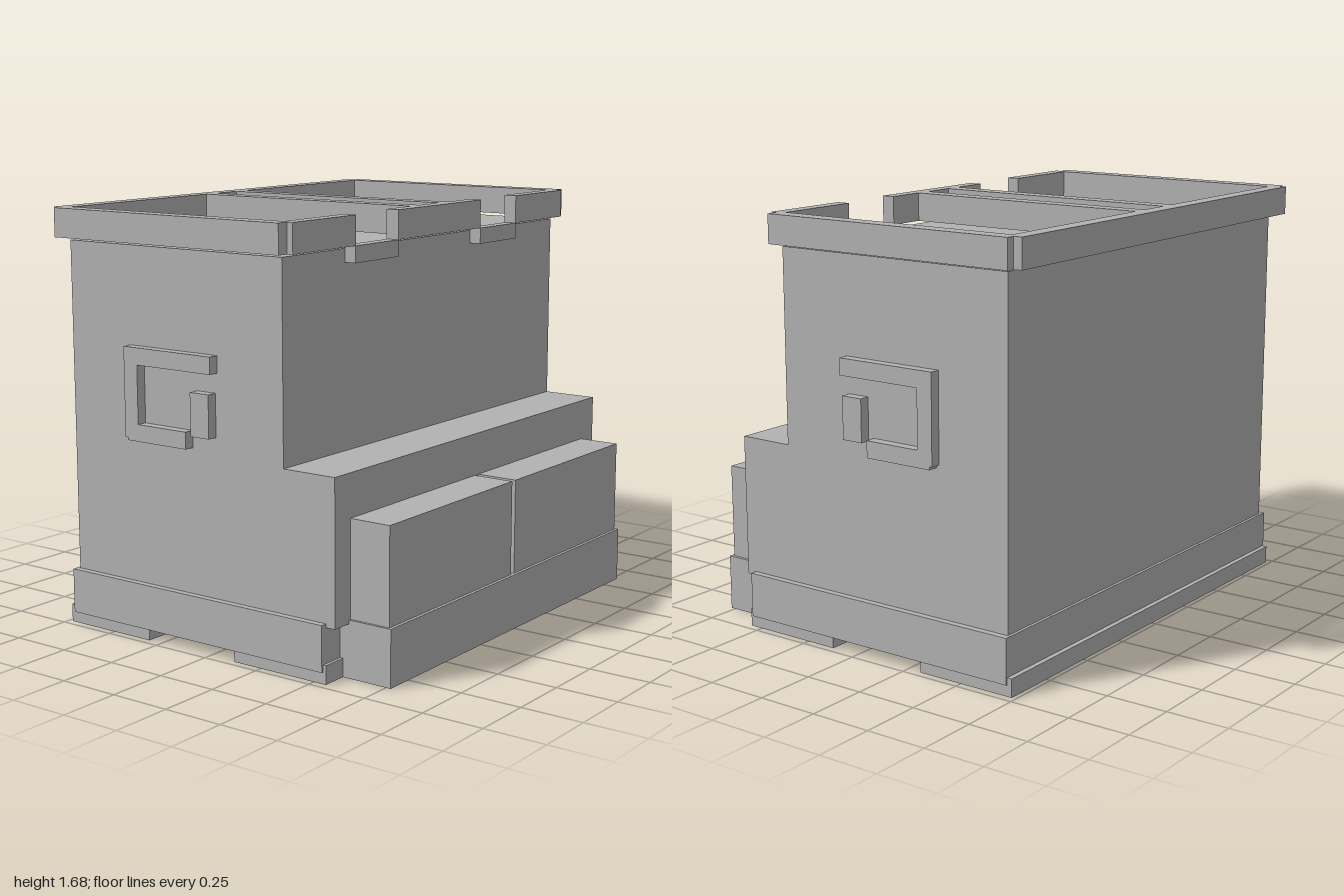
import * as THREE from 'three';

const grey = new THREE.MeshStandardMaterial({ color: 0xb2b2b2 });
grey.name = 'grey';

const toShape = (pts) => new THREE.Shape(pts.map(([a, b]) => new THREE.Vector2(a, b)));

// Side profile of [z, y] points, extruded along x and centred on cx
function sideExtrude(pts, width, cx = 0) {
  const g = new THREE.ExtrudeGeometry(toShape(pts), { depth: width, bevelEnabled: false });
  g.translate(0, 0, -width / 2);
  g.rotateY(-Math.PI / 2);
  g.translate(cx, 0, 0);
  return g;
}

// Plan of [x, z] points, extruded between two heights
function planExtrude(shape, y0, y1) {
  const g = new THREE.ExtrudeGeometry(shape, { depth: y1 - y0, bevelEnabled: false });
  g.rotateX(Math.PI / 2);
  g.translate(0, y1, 0);
  return g;
}

function boxBetween(x0, x1, y0, y1, z0, z1) {
  const g = new THREE.BoxGeometry(x1 - x0, y1 - y0, z1 - z0);
  g.translate((x0 + x1) / 2, (y0 + y1) / 2, (z0 + z1) / 2);
  return g;
}

export function createModel() {
  const model = new THREE.Group();
  model.name = 'storageCase';
  const add = (name, geometry) => {
    const mesh = new THREE.Mesh(geometry, grey);
    mesh.name = name;
    model.add(mesh);
  };

  // Stepped body
  add('body', sideExtrude([
    [-0.7, 0.21], [0.583, 0.21], [0.583, 0.777], [0.35, 0.777], [0.35, 1.55], [-0.7, 1.55],
  ], 1.9));

  // Base skirt, its two feet with a channel between them, and the front plinth
  add('baseSkirt', boxBetween(-0.977, 0.977, 0.045, 0.225, -0.712, 0.542));
  add('frontFoot', boxBetween(-0.97, 0.97, 0, 0.073, 0.122, 0.555));
  add('backFoot', boxBetween(-0.97, 0.97, 0, 0.073, -0.732, -0.312));
  add('frontPlinth', boxBetween(-0.865, 0.865, 0, 0.225, 0.5, 0.77));

  // Pair of front boxes
  add('rightFrontBox', boxBetween(-0.855, -0.014, 0.21, 0.607, 0.57, 0.757));
  add('leftFrontBox', boxBetween(0.01, 0.852, 0.21, 0.607, 0.57, 0.757));

  // Lid rim: the two trays open through the front gaps, with a slot between the ribs
  const half = [
    [0.067, 0.4], [0.295, 0.4], [0.295, 0.345], [0.133, 0.345], [0.133, -0.705],
    [0.932, -0.705], [0.932, 0.345], [0.57, 0.345], [0.57, 0.4], [0.95, 0.4],
    [0.95, 0.375], [1, 0.375], [1, -0.735], [0.965, -0.735], [0.965, -0.77],
  ];
  const rim = toShape([...half, ...half.map(([x, z]) => [-x, z]).reverse()]);
  rim.holes.push(new THREE.Path([
    [-0.067, -0.705], [0.067, -0.705], [0.067, 0.345], [-0.067, 0.345],
  ].map(([x, z]) => new THREE.Vector2(x, z))));
  add('lidRim', planExtrude(rim, 1.562, 1.677));

  for (const s of [-1, 1]) {
    const side = s > 0 ? 'left' : 'right';
    // Latch below each gap in the rim
    add(side + 'Latch', boxBetween(s * 0.433 - 0.139, s * 0.433 + 0.139, 1.497, 1.562, 0.348, 0.4));

    // Side handle: hooked bracket and a short upright
    add(side + 'HandleBracket', sideExtrude([
      [0.04, 1.165], [0.04, 1.098], [-0.325, 1.098], [-0.325, 0.867], [-0.085, 0.867],
      [-0.085, 0.8], [-0.38, 0.8], [-0.38, 0.813], [-0.392, 0.813], [-0.392, 1.165],
    ], 0.05, s * 0.967));
    add(side + 'HandleUpright', sideExtrude([
      [0.03, 0.853], [0.03, 1.022], [-0.06, 1.022], [-0.06, 0.853],
    ], 0.05, s * 0.967));
  }

  return model;
}
